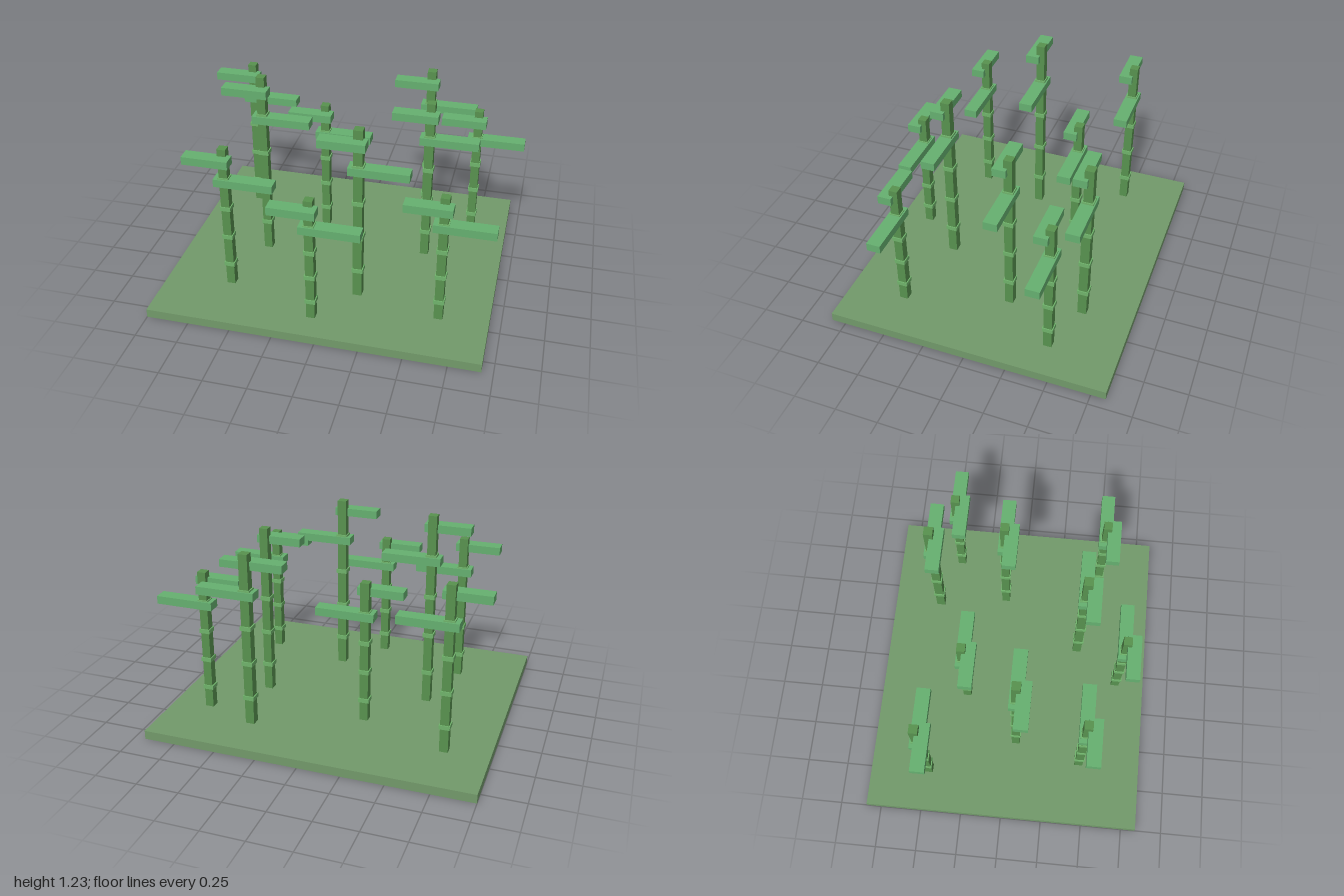
import * as THREE from 'three';

const paint = (color) => new THREE.MeshStandardMaterial({ color, flatShading: true });
const MATS = {
  ground: paint(0x729a6a),
  stalk: paint(0x58924f),
  ring: paint(0x70b46c),
  leaf: paint(0x66b070),
};

function box(parent, name, mat, [w, h, d], [x, y, z]) {
  const mesh = new THREE.Mesh(new THREE.BoxGeometry(w, h, d), mat);
  mesh.name = name;
  mesh.position.set(x, y, z);
  parent.add(mesh);
}

// One bamboo plant: square stalk, four joint rings and two flat leaves
function makeBamboo(height, width) {
  const plant = new THREE.Group();
  plant.name = 'bamboo';
  const bottom = 0.003;
  box(plant, 'stalk', MATS.stalk, [width, height - bottom, width], [0, (height + bottom) / 2, 0]);
  for (let i = 1; i <= 4; i++) {
    box(plant, 'jointRing', MATS.ring, [width * 1.25, 0.025, width * 1.25], [0, height * 0.2 * i, 0]);
  }
  box(plant, 'lowerLeaf', MATS.leaf, [0.346, 0.048, 0.08], [0.116, height * 0.78, 0]);
  box(plant, 'upperLeaf', MATS.leaf, [0.268, 0.048, 0.08], [-0.082, height * 0.932, 0.042]);
  return plant;
}

export function createModel() {
  const model = new THREE.Group();
  model.name = 'bambooGrove';

  // Ground slab
  box(model, 'ground', MATS.ground, [1.935, 0.053, 1.67], [-0.0325, 0.0265, 0]);

  // Plants: x, z, height, stalk width
  const plants = [
    [-0.74, -0.474, 1.05, 0.05],
    [-0.608, 0.457, 0.97, 0.05],
    [-0.505, 0.052, 1.23, 0.05],
    [-0.217, -0.288, 0.917, 0.05],
    [-0.061, 0.654, 0.84, 0.05],
    [0.15, 0.391, 1.153, 0.053],
    [0.396, -0.536, 1.1, 0.053],
    [0.462, -0.106, 1.1, 0.05],
    [0.646, 0.494, 0.866, 0.05],
    [0.709, -0.43, 0.917, 0.05],
  ];
  for (const [x, z, height, width] of plants) {
    const plant = makeBamboo(height, width);
    plant.position.set(x, 0, z);
    model.add(plant);
  }
  return model;
}
